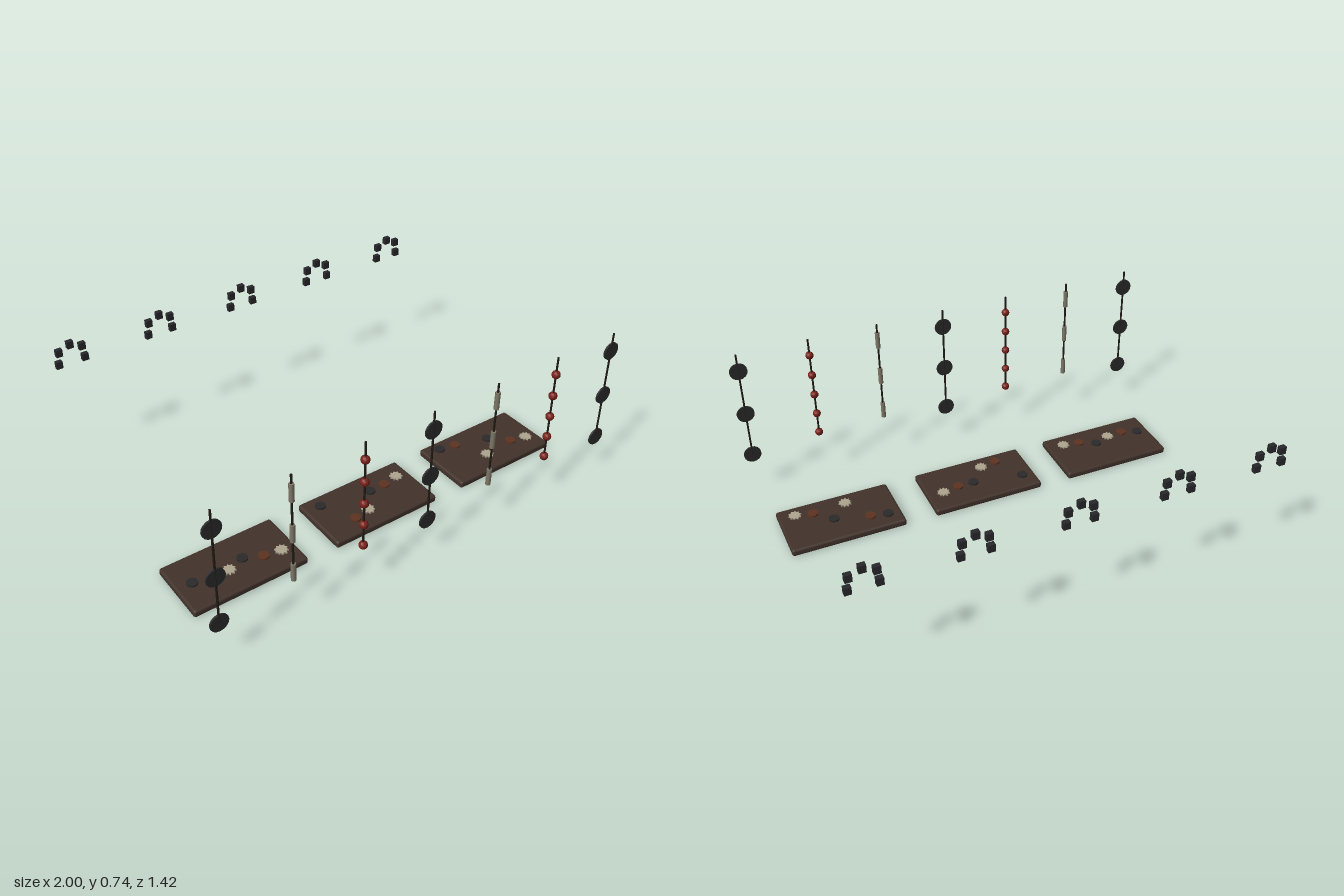
import * as THREE from 'three';
import { RoundedBoxGeometry } from 'three/addons/geometries/RoundedBoxGeometry.js';

const material = (name, color, flatShading = false) => {
  const m = new THREE.MeshStandardMaterial({ color, flatShading });
  m.name = name;
  return m;
};

function starGeometry(outer, inner, points, depth) {
  const shape = new THREE.Shape();
  for (let i = 0; i < points * 2; i++) {
    const a = (i / points) * Math.PI;
    const r = i % 2 ? inner : outer;
    shape[i ? 'lineTo' : 'moveTo'](Math.cos(a) * r, Math.sin(a) * r);
  }
  shape.closePath();
  const g = new THREE.ExtrudeGeometry(shape, { depth, bevelEnabled: false });
  return g.translate(0, 0, -depth / 2).rotateX(-Math.PI / 2);
}

export function createModel() {
  const model = new THREE.Group();
  model.name = 'hangingDisplay';

  const wood = material('dark wood', 0x42332b);
  const iron = material('iron', 0x2a2a2b);
  const charcoal = material('charcoal', 0x28282c);
  const rust = material('rust brown', 0x5e3320);
  const bone = material('bone', 0xb0a690);
  const red = material('deep red', 0x7a2019, true);
  const pewter = material('pewter', 0x7e7868);
  const cordColor = material('cord', 0x211b15);

  const add = (parent, name, geometry, mat, x, y, z) => {
    const mesh = new THREE.Mesh(geometry, mat);
    mesh.name = name;
    mesh.position.set(x, y, z);
    parent.add(mesh);
  };
  const group = (name, x, y, z) => {
    const g = new THREE.Group();
    g.name = name;
    g.position.set(x, y, z);
    model.add(g);
    return g;
  };

  // Three trays, each with six thin tokens just above the surface
  const trayGeo = new RoundedBoxGeometry(0.53, 0.034, 0.295, 2, 0.011);
  const discGeo = new THREE.CylinderGeometry(0.024, 0.024, 0.008, 16);
  const tokens = [
    ['ironToken', discGeo, iron],
    ['rustToken', discGeo, rust],
    ['starToken', starGeometry(0.03, 0.021, 10, 0.008), bone],
  ];
  const tokenZ = [
    [0.317, 0.344, 0.339, 0.311, 0.349, 0.362],
    [0.229, 0.378, 0.363, 0.271, 0.271, 0.256],
    [0.218, 0.234, 0.369, 0.282, 0.354, 0.373],
  ];
  tokenZ.forEach((row, t) => {
    const tray = group('tray', (t - 1) * 0.675, 0, 0);
    add(tray, 'trayBoard', trayGeo, wood, 0, 0.017, 0.303);
    row.forEach((z, i) => {
      const [name, geo, mat] = tokens[i % 3];
      add(tray, name, geo, mat, (i - 2.5) * 0.078 - 0.003, 0.048, z);
    });
  });

  // Seven hanging strands: large discs, slim rods or red beads
  const strands = [
    { name: 'disc', mat: iron, count: 3, top: 0.652, step: 0.223,
      geo: new THREE.CylinderGeometry(0.04, 0.04, 0.008, 16).rotateX(Math.PI / 2) },
    { name: 'rod', mat: pewter, count: 3, top: 0.657, step: 0.19,
      geo: new THREE.CylinderGeometry(0.011, 0.011, 0.08, 8) },
    { name: 'bead', mat: red, count: 5, top: 0.656, step: 0.104,
      geo: new THREE.IcosahedronGeometry(0.019, 1) },
  ];
  for (let i = 0; i < 7; i++) {
    const s = strands[i % 3];
    const strand = group(s.name + 'Strand', (i - 3) * 0.32, 0, 0.694);
    const bottom = s.top - (s.count - 1) * s.step;
    const length = 0.738 - bottom;
    add(strand, 'cord', new THREE.CylinderGeometry(0.0045, 0.0045, length, 6),
      cordColor, 0, bottom + length / 2, 0);
    for (let k = 0; k < s.count; k++) {
      add(strand, s.name, s.geo, s.mat, 0, s.top - k * s.step, 0);
    }
  }

  // Five arches of small blocks along the back
  const blockGeo = new THREE.BoxGeometry(0.029, 0.034, 0.021);
  const arch = [[-0.06, 0.543], [-0.053, 0.6], [0, 0.625], [0.053, 0.6], [0.06, 0.543]];
  for (let i = 0; i < 5; i++) {
    const cluster = group('blockArch', (i - 2) * 0.427, 0, -0.7);
    for (const [x, y] of arch) add(cluster, 'block', blockGeo, charcoal, x, y, 0);
  }

  return model;
}
